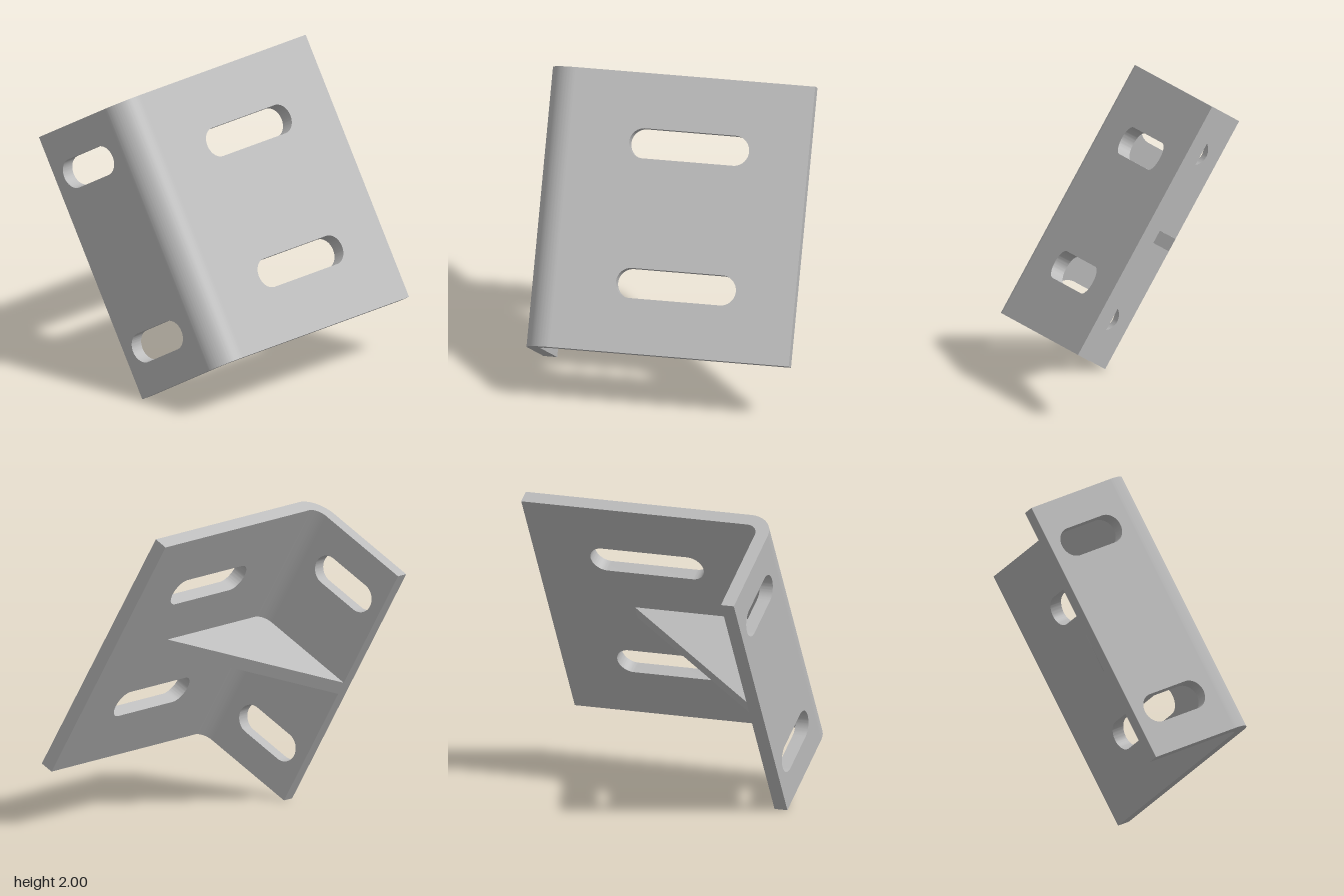
import * as THREE from 'three';
import { toCreasedNormals } from 'three/addons/utils/BufferGeometryUtils.js';

const L = 0.912;       // half length along the bend
const W = 0.42;        // half width of the short flange
const D = 0.877;       // half depth of the long flange
const T = 0.09;        // sheet thickness
const RO = 0.175, RI = RO - T; // bend radii

export function createModel() {
  const steel = new THREE.MeshStandardMaterial({ color: 0xbbbbbb });
  steel.name = 'greySteel';
  const bracket = new THREE.Group();
  bracket.name = 'angleBracket';

  const extrude = (shape, depth) =>
    new THREE.ExtrudeGeometry(shape, { depth, bevelEnabled: false, curveSegments: 20 });
  const add = (name, geometry) => {
    const mesh = new THREE.Mesh(toCreasedNormals(geometry, 0.6), steel);
    mesh.name = name;
    bracket.add(mesh);
  };

  // Round-ended slot running along the shape's x axis
  const slot = (cx, cy, half, r) => {
    const p = new THREE.Path();
    p.moveTo(cx - half, cy - r);
    p.lineTo(cx + half, cy - r);
    p.absarc(cx + half, cy, r, -Math.PI / 2, Math.PI / 2, false);
    p.lineTo(cx - half, cy + r);
    p.absarc(cx - half, cy, r, Math.PI / 2, Math.PI * 1.5, false);
    return p;
  };

  // Flat flange with a mirrored pair of slots
  const flange = (x0, x1, cx, cy, half) => {
    const s = new THREE.Shape([
      new THREE.Vector2(x0, -L), new THREE.Vector2(x1, -L),
      new THREE.Vector2(x1, L), new THREE.Vector2(x0, L),
    ]);
    for (const side of [-1, 1]) s.holes.push(slot(cx, side * cy, half, 0.098));
    return extrude(s, T);
  };

  add('frontFlange', flange(-W, W - RO, -0.091, 0.607, 0.148).translate(0, 0, D - T));
  add('sideFlange', flange(RO - D, D, 0.09, 0.455, 0.297)
    .rotateY(Math.PI / 2).translate(W - T, 0, 0));

  // Rounded corner joining the flanges
  const cx = W - RO, cy = RO - D;
  const arc = new THREE.Shape();
  arc.moveTo(cx + RO, cy);
  arc.absarc(cx, cy, RO, 0, -Math.PI / 2, true);
  arc.lineTo(cx, cy - RI);
  arc.absarc(cx, cy, RI, -Math.PI / 2, 0, false);
  add('bend', extrude(arc, 2 * L).rotateX(-Math.PI / 2).translate(0, -L, 0));

  // Triangular stiffener across the inside corner
  const web = new THREE.Shape([
    new THREE.Vector2(-W, T - D), new THREE.Vector2(W - T, T - D), new THREE.Vector2(W - T, 0.26),
  ]);
  add('gusset', extrude(web, T).rotateX(-Math.PI / 2).translate(0, -T / 2, 0));

  // Tilt the whole bracket onto its lower corner
  bracket.rotation.z = Math.PI / 6;
  bracket.position.y = 1;
  const model = new THREE.Group();
  model.name = 'tiltedBracket';
  model.add(bracket);
  return model;
}
